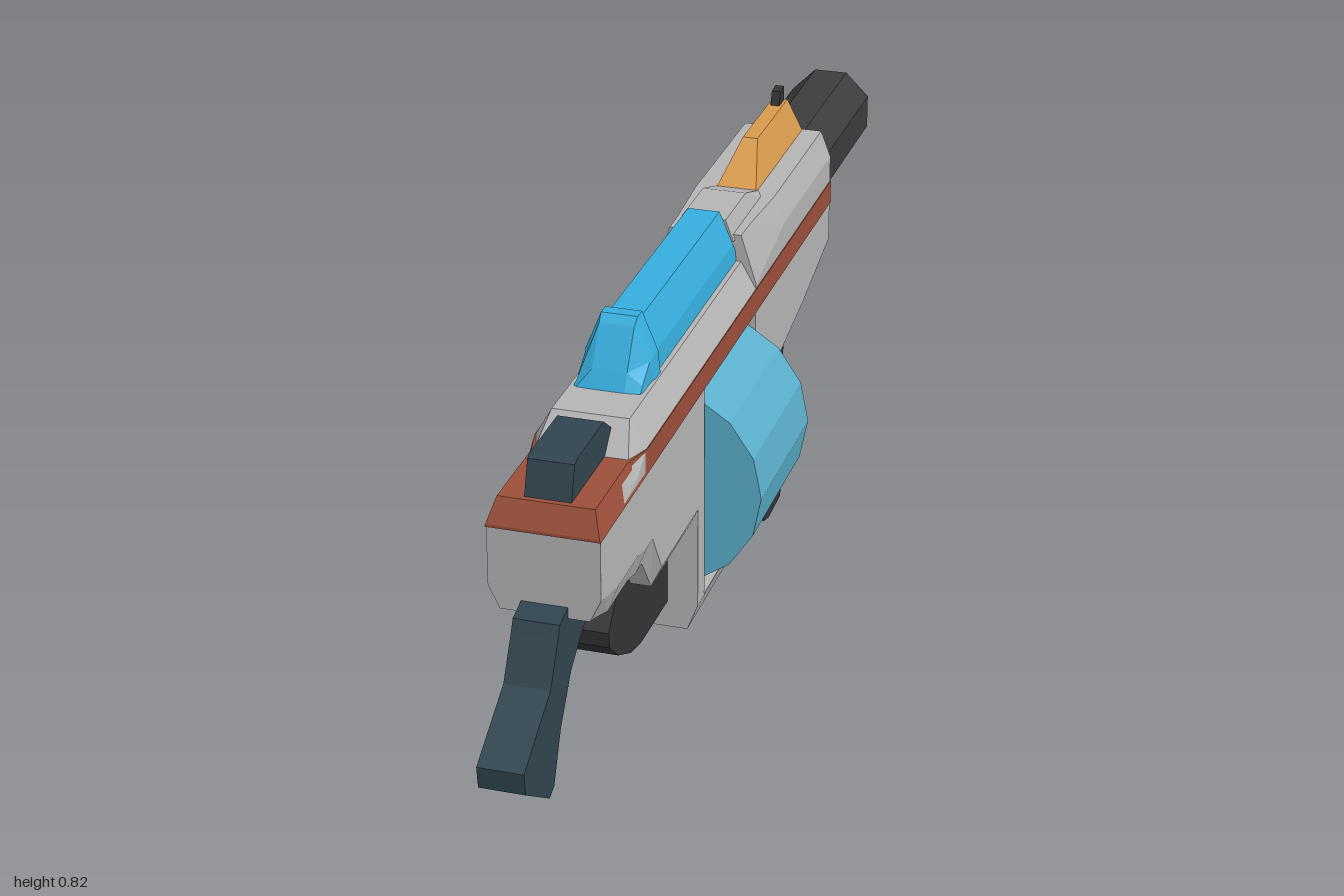
import * as THREE from 'three';

const GREY = 0xb4b4b4, RED = 0x9c4f3a, BLUE = 0x36aedd, DRUM = 0x5aaecb;
const NAVY = 0x30444f, DARK = 0x333333, BARREL = 0x3c3c3c, ORANGE = 0xd8994c;

export function createModel() {
  const model = new THREE.Group();

  const add = (name, geometry, color) => {
    const material = new THREE.MeshStandardMaterial({ color, flatShading: true });
    const mesh = new THREE.Mesh(geometry, material);
    mesh.name = name;
    model.add(mesh);
    return mesh;
  };

  // Side profile of [z, y] points, extruded across x
  const plate = (name, points, width, color) => {
    const shape = new THREE.Shape(points.map(([z, y]) => new THREE.Vector2(z, y)));
    const g = new THREE.ExtrudeGeometry(shape, { depth: width, bevelEnabled: false });
    g.translate(0, 0, -width / 2).rotateY(-Math.PI / 2);
    return add(name, g, color);
  };

  // Mirrored cross-sections { z, half: [[x, y], ...] } joined from +z to -z
  const loft = (name, sections, color) => {
    const rings = sections.map(({ z, half }) => [
      ...half.map(([x, y]) => [x, y, z]),
      ...half.slice().reverse().map(([x, y]) => [-x, y, z]),
    ]);
    const pos = [];
    const tri = (a, b, c) => pos.push(...a, ...b, ...c);
    const n = rings[0].length, last = rings[rings.length - 1];
    for (let i = 0; i < rings.length - 1; i++) {
      for (let j = 0; j < n; j++) {
        const k = (j + 1) % n;
        const a = rings[i][j], b = rings[i][k], c = rings[i + 1][k], d = rings[i + 1][j];
        tri(a, d, b);
        tri(d, c, b);
      }
    }
    for (let j = 1; j < n - 1; j++) {
      tri(rings[0][0], rings[0][j], rings[0][j + 1]);
      tri(last[0], last[j + 1], last[j]);
    }
    const g = new THREE.BufferGeometry();
    g.setAttribute('position', new THREE.Float32BufferAttribute(pos, 3));
    g.computeVertexNormals();
    return add(name, g, color);
  };

  // Body: z, bottom, bottom chamfer height, bottom half width, top, top chamfer height, top half width
  const W = 0.094;
  const body = [
    [0.78, 0.44, 0.04, 0.075, 0.59, 0.005, 0.09],
    [0.76, 0.435, 0.04, 0.075, 0.63, 0.045, 0.079],
    [0.69, 0.41, 0.05, 0.075, 0.63, 0.045, 0.079],
    [0.59, 0.41, 0.05, 0.075, 0.63, 0.03, 0.079],
    [0.54, 0.40, 0.05, 0.075, 0.68, 0.05, 0.066],
    [0.51, 0.40, 0.05, 0.075, 0.68, 0.05, 0.066],
    [0.46, 0.33, 0.04, 0.075, 0.68, 0.05, 0.066],
    [0.25, 0.33, 0.04, 0.075, 0.68, 0.05, 0.066],
    [0.25, 0.13, 0.05, 0.075, 0.68, 0.05, 0.066],
    [0.21, 0.13, 0.05, 0.075, 0.68, 0.05, 0.066],
    [0.21, 0.585, 0, W, 0.68, 0.05, 0.066],
    [-0.11, 0.585, 0, W, 0.68, 0.05, 0.066],
    [-0.11, 0.13, 0.05, 0.075, 0.73, 0.09, 0.066],
    [-0.12, 0.13, 0.05, 0.075, 0.73, 0.09, 0.066],
    [-0.165, 0.17, 0.03, 0.075, 0.73, 0.08, 0.067],
    [-0.165, 0.41, 0.005, 0.09, 0.73, 0.08, 0.067],
    [-0.3, 0.41, 0.02, 0.08, 0.73, 0.05, 0.075],
    [-0.45, 0.41, 0.05, 0.068, 0.73, 0.05, 0.075],
    [-0.635, 0.41, 0.1, 0.052, 0.73, 0.05, 0.075],
  ];
  loft('body', body.map(([z, yb, cb, hb, yt, ct, ht]) => ({
    z, half: [[hb, yb], [W, yb + cb], [W, yt - ct], [ht, yt]],
  })), GREY);

  // Bar under the drum window
  const bar = [[0.075, 0.13], [W, 0.18], [W, 0.183]];
  loft('drumFrameBar', [0.21, -0.11].map((z) => ({ z, half: bar })), GREY);

  // Ridge on top of the body
  const ridge = (y) => [[0.055, 0.72], [0.04, y]];
  loft('topRidge', [[-0.1, 0.76], [-0.23, 0.76], [-0.31, 0.733]].map(([z, y]) => ({ z, half: ridge(y) })), GREY);

  // Stripe around the body
  loft('stripe', [
    [0.783, 0.585, 0.59, 0.094], [0.763, 0.585, 0.632, 0.081], [0.6, 0.585, 0.632, 0.081],
    [0.54, 0.585, 0.63, 0.0955], [-0.637, 0.585, 0.63, 0.0955],
  ].map(([z, y0, y1, h]) => ({ z, half: [[0.0955, y0], [h, y1]] })), RED);

  // Drum poking out of both sides
  const drum = new THREE.CylinderGeometry(0.195, 0.195, 0.314, 16);
  drum.rotateX(Math.PI / 2).rotateZ(Math.PI / 2).translate(0, 0.384, 0.05);
  add('drum', drum, DRUM);

  // Cover and its raised rear hood
  const arch = (y, s) => [[0.06 * s, 0.675], [0.056 * s, 0.675 + (y - 0.675) * 0.4], [0.03 * s, y]];
  loft('topCover', [[0.37, 0.775], [-0.1, 0.775], [-0.13, 0.68]]
    .map(([z, y]) => ({ z, half: arch(y, 0.96) })), BLUE);
  loft('coverHood', [[0.455, 0.68, 1], [0.44, 0.71, 1], [0.40, 0.775, 1], [0.385, 0.787, 1.05], [0.362, 0.787, 1.05]]
    .map(([z, y, s]) => ({ z, half: arch(y, s) })), BLUE);

  // Rear block, grip and trigger
  plate('rearBlock', [[0.757, 0.62], [0.735, 0.69], [0.72, 0.695], [0.59, 0.695], [0.55, 0.665], [0.54, 0.62]], 0.078, NAVY);
  plate('rearGrip', [
    [1, 0.285], [0.995, 0.245], [0.885, 0.17], [0.862, 0.18], [0.825, 0.265], [0.77, 0.34], [0.705, 0.385],
    [0.6, 0.405], [0.6, 0.44], [0.76, 0.465], [0.82, 0.45], [0.83, 0.43], [0.87, 0.36],
  ], 0.078, NAVY);
  plate('trigger', [[0.71, 0.4], [0.705, 0.35], [0.68, 0.34], [0.655, 0.35], [0.64, 0.375], [0.6, 0.39], [0.6, 0.415]], 0.035, ORANGE);

  // Stop behind the drum
  plate('lowerStop', [
    [0.58, 0.3], [0.575, 0.27], [0.53, 0.23], [0.46, 0.195], [0.4, 0.183], [0.25, 0.18],
    [0.25, 0.36], [0.46, 0.42], [0.5, 0.385],
  ], 0.078, DARK);

  // Front grip
  plate('frontGrip', [
    [-0.38, 0.43], [-0.38, 0.38], [-0.41, 0.33], [-0.415, 0.2], [-0.385, 0.07], [-0.385, 0.01], [-0.42, 0],
    [-0.505, 0.005], [-0.508, 0.03], [-0.525, 0.045], [-0.51, 0.2], [-0.505, 0.3], [-0.53, 0.37], [-0.535, 0.43],
  ], 0.078, DARK);

  // Octagonal barrel with an open bore
  const lathe = (points) => new THREE.LatheGeometry(points.map(([r, h]) => new THREE.Vector2(r, h)), 8)
    .rotateY(Math.PI / 8).rotateX(-Math.PI / 2).translate(0, 0.635, 0);
  add('barrel', lathe([[0, 0.66], [0.084, 0.67], [0.084, 1], [0.05, 1], [0.05, 0.88], [0, 0.88]]), BARREL);
  add('barrelNeck', lathe([[0.057, 0.62], [0.057, 0.69]]), DARK);

  // Front sight ramp and bead
  const ramp = (y, h) => [[0.04, 0.725], [h, y]];
  loft('sightRamp', [[-0.31, 0.732, 0.037], [-0.4, 0.797, 0.014], [-0.61, 0.797, 0.014], [-0.632, 0.732, 0.037]]
    .map(([z, y, h]) => ({ z, half: ramp(y, h) })), ORANGE);
  plate('sightBead', [[-0.568, 0.79], [-0.58, 0.822], [-0.605, 0.825], [-0.608, 0.79]], 0.017, DARK);

  return model;
}
